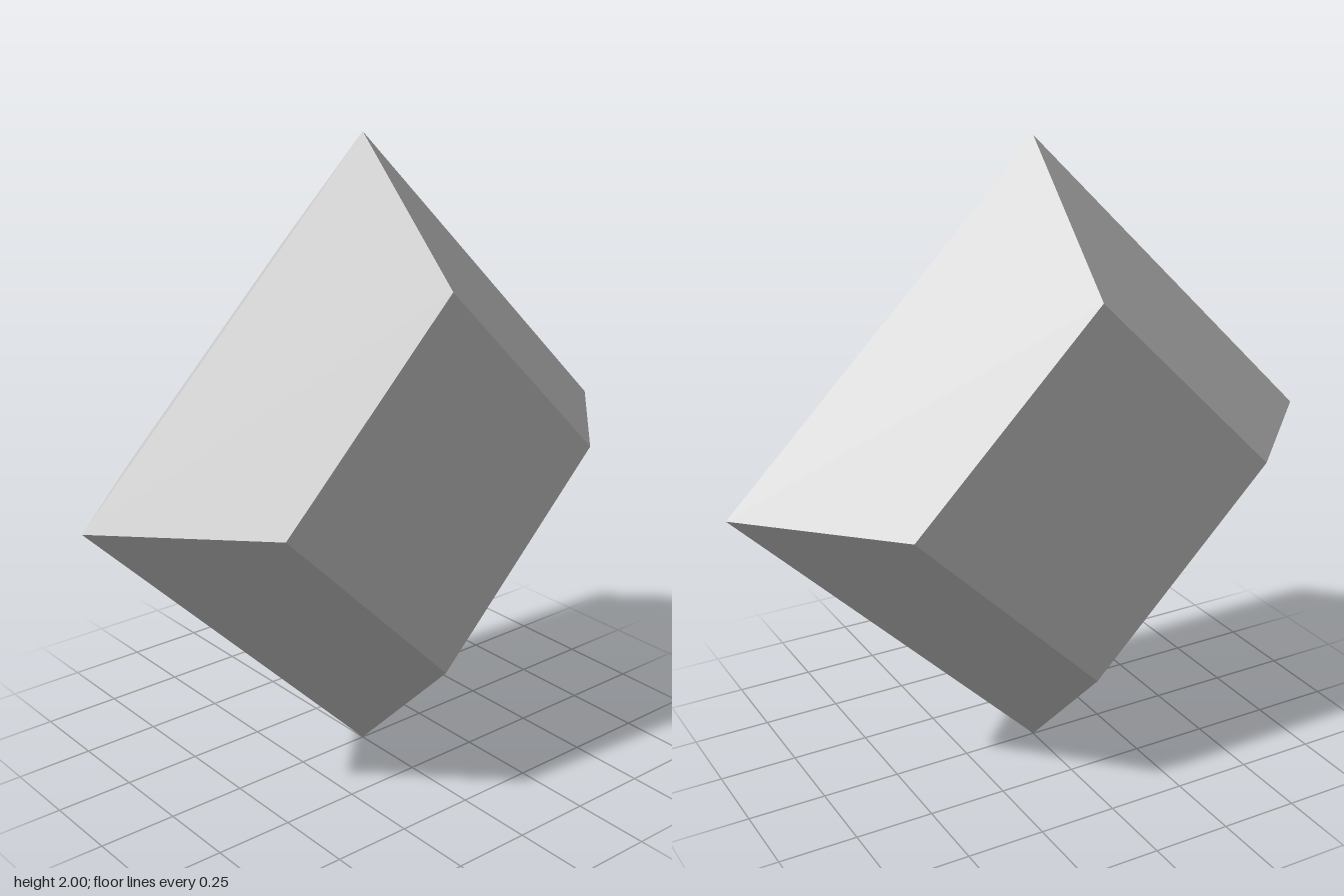
import * as THREE from 'three';

export function createModel() {
  const group = new THREE.Group();
  group.name = 'cutGem';

  const girdle = 1;     // corner radius at the middle
  const table = 0.6;    // corner radius of the flat front and back faces
  const halfDepth = 0.4;

  // Four-sided double bevel: back table, back bevel, front bevel, front table
  const profile = [
    [0, -halfDepth], [table, -halfDepth], [girdle, 0], [table, halfDepth], [0, halfDepth],
  ].map(([r, d]) => new THREE.Vector2(r, d));

  // Turn the lathe axis from y to z, so the corners lie on the x and y axes
  const faceted = new THREE.LatheGeometry(profile, 4).rotateX(Math.PI / 2).toNonIndexed();
  faceted.computeVertexNormals();

  const gem = new THREE.Mesh(
    faceted,
    new THREE.MeshStandardMaterial({ color: 0xcccccc, flatShading: true }),
  );
  gem.name = 'gemBody';
  gem.position.y = girdle;
  group.add(gem);

  return group;
}
